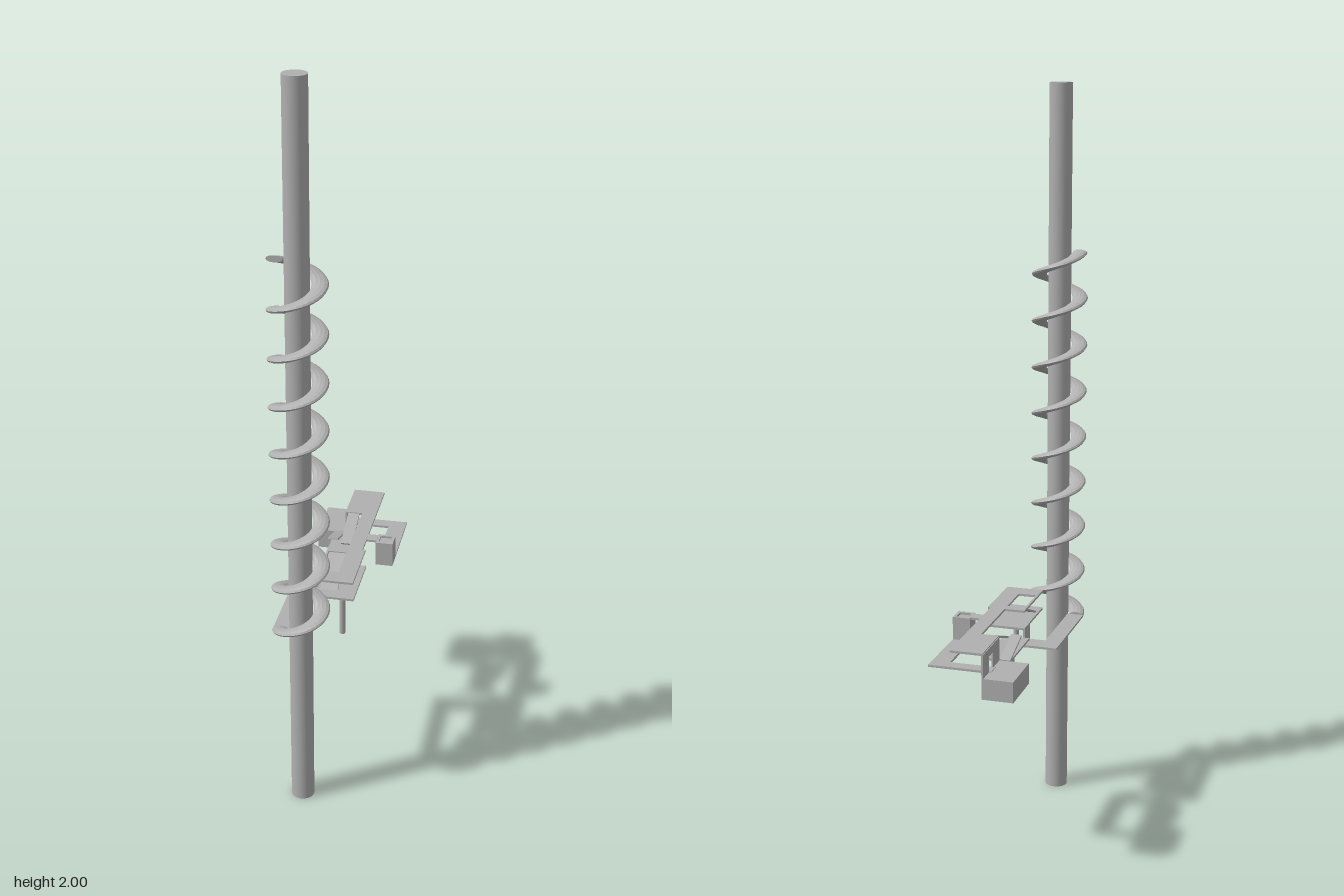
import * as THREE from 'three';
import { ParametricGeometry } from 'three/addons/geometries/ParametricGeometry.js';

const steel = new THREE.MeshStandardMaterial({ color: 0xb0b0b0 });
steel.name = 'steel grey';

const POLE = { x: -0.055, z: 0.27, r: 0.031 };
const T = 0.006; // sheet thickness

export function createModel() {
  const model = new THREE.Group();
  const add = (name, geometry, x = 0, y = 0, z = 0) => {
    const mesh = new THREE.Mesh(geometry, steel);
    mesh.name = name;
    mesh.position.set(x, y, z);
    model.add(mesh);
    return mesh;
  };

  // box given by its limits on each axis
  const box = (name, x0, x1, y0, y1, z0, z1) =>
    add(name, new THREE.BoxGeometry(x1 - x0, y1 - y0, z1 - z0),
      (x0 + x1) / 2, (y0 + y1) / 2, (z0 + z1) / 2);

  // thin plate whose upper face lies at height y
  const plate = (name, x0, x1, z0, z1, y) => box(name, x0, x1, y - T, y, z0, z1);

  // closed rectangle traced as a shape or a hole
  const rect = (path, a0, a1, b0, b1) => {
    path.moveTo(a0, b0);
    path.lineTo(a1, b0);
    path.lineTo(a1, b1);
    path.lineTo(a0, b1);
    path.closePath();
    return path;
  };

  // bent tab running from (z0, y0) to (z1, y1)
  const tab = (name, x0, x1, z0, y0, z1, y1) => {
    const length = Math.hypot(z1 - z0, y1 - y0);
    const mesh = add(name, new THREE.BoxGeometry(x1 - x0, T * 0.8, length),
      (x0 + x1) / 2, (y0 + y1) / 2, (z0 + z1) / 2);
    mesh.rotation.x = -Math.atan2(y1 - y0, z1 - z0);
  };

  // upright pole
  add('pole', new THREE.CylinderGeometry(POLE.r, POLE.r, 2, 32), POLE.x, 1, POLE.z);

  // spiral flight: flat oval section, eight turns, closed at both ends
  const steps = 8 * 32 + 2;
  add('spiralFlight', new ParametricGeometry((u, v, p) => {
    const i = Math.round(u * steps);
    const t = THREE.MathUtils.clamp((i - 1) / (steps - 2), 0, 1);
    const size = i === 0 || i === steps ? 0 : 1;
    const turn = t * 8 * Math.PI * 2;
    const around = v * Math.PI * 2;
    const r = 0.0555 + 0.021 * size * Math.cos(around);
    p.set(POLE.x - r * Math.cos(turn),
      0.523 + 1.03 * t + 0.009 * size * Math.sin(around),
      POLE.z + r * Math.sin(turn));
  }, steps, 12));

  // arm from the foot of the spiral to the front bracket
  plate('spiralArm', -0.13, -0.085, -0.01, 0.27, 0.525);
  plate('armCrosspiece', -0.085, -0.036, -0.01, 0.042, 0.525);
  box('armRiser', -0.041, -0.036, 0.519, 0.573, -0.008, 0.042);
  plate('frontLowerPlate', -0.04, 0.065, -0.01, 0.17, 0.573);

  // long upper plate with a window at the front
  const top = new THREE.Shape();
  [[-0.04, -0.17], [0.063, -0.17], [0.063, 0.01], [0.055, 0.01], [0.055, 0.35],
    [-0.032, 0.35], [-0.032, 0.213], [0.015, 0.213], [0.015, 0.01], [-0.04, 0.01]]
    .forEach(([x, y], i) => (i ? top.lineTo(x, y) : top.moveTo(x, y)));
  top.closePath();
  top.holes.push(rect(new THREE.Path(), -0.034, 0.015, -0.122, -0.015));
  const topGeometry = new THREE.ExtrudeGeometry(top, { depth: T, bevelEnabled: false });
  topGeometry.rotateX(-Math.PI / 2);
  add('upperPlate', topGeometry, 0, 0.617, 0);

  // tabs bent down from the upper plate
  tab('frontTab', -0.033, 0.014, 0.016, 0.619, 0.14, 0.568);
  tab('rearTab', -0.025, 0.007, -0.213, 0.619, -0.105, 0.58);

  // rear wall with a window, counterweight and middle plate
  const wall = rect(new THREE.Shape(), 0.213, 0.35, 0.5, 0.62);
  wall.holes.push(rect(new THREE.Path(), 0.267, 0.302, 0.557, 0.598));
  const wallGeometry = new THREE.ExtrudeGeometry(wall, { depth: 0.005, bevelEnabled: false });
  wallGeometry.rotateY(Math.PI / 2);
  add('rearWall', wallGeometry, -0.034, 0, 0);
  box('rearBlock', -0.113, -0.032, 0.5, 0.556, -0.35, -0.213);
  plate('middlePlate', -0.063, 0.008, -0.214, -0.04, 0.558);
  tab('middleTab', -0.063, -0.034, -0.213, 0.556, -0.11, 0.59);

  // side strip passing through the rear wall, with a hollow block at its end
  plate('sideStripBar', -0.04, 0.13, -0.302, -0.268, 0.558);
  plate('sideStrip', 0.082, 0.13, -0.27, -0.058, 0.558);
  const socket = rect(new THREE.Shape(), 0.082, 0.13, 0.058, 0.107);
  socket.holes.push(rect(new THREE.Path(), 0.09, 0.122, 0.066, 0.099));
  const socketGeometry = new THREE.ExtrudeGeometry(socket, { depth: 0.065, bevelEnabled: false });
  socketGeometry.rotateX(-Math.PI / 2);
  add('socketBlock', socketGeometry, 0, 0.556, 0);
  box('socketFill', 0.088, 0.124, 0.556, 0.615, -0.101, -0.064);
  plate('socketLink', 0.05, 0.083, -0.1, -0.068, 0.622);

  // pins hanging below the plates
  for (const [name, x, y0, y1, z] of [
    ['frontPin', 0.03, 0.45, 0.57, 0.145],
    ['rearPin', -0.02, 0.46, 0.556, -0.064],
  ]) add(name, new THREE.CylinderGeometry(0.008, 0.008, y1 - y0, 16), x, (y0 + y1) / 2, z);

  return model;
}
